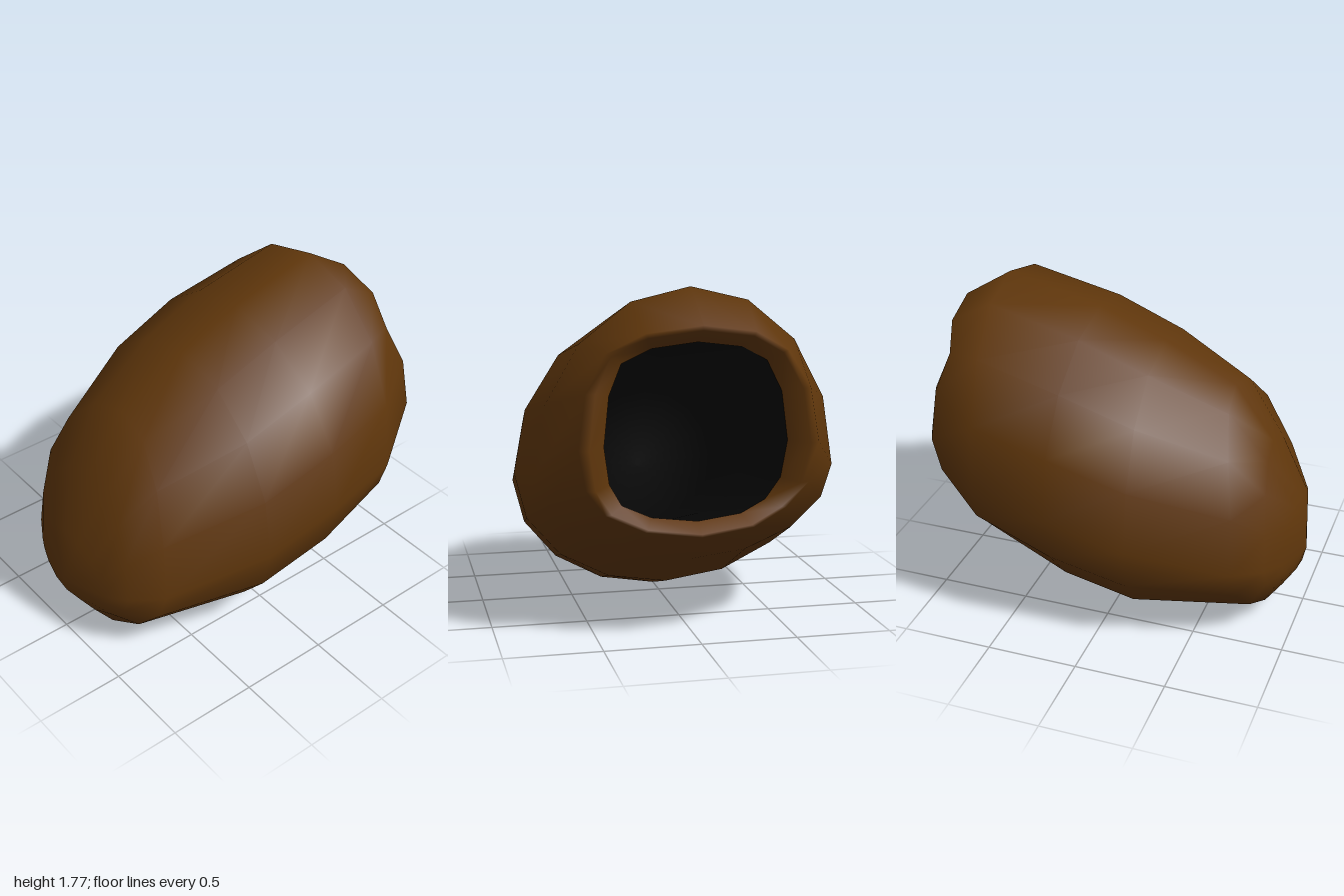
import * as THREE from 'three';

const SIDES = 16;

// One closed ring, from its top, bottom and widest side points.
// square pushes the diagonals outwards, dip pulls them back along x.
function ring({ top, bottom, side, square = 1, dip = 0 }) {
  const points = [];
  for (let j = 0; j < SIDES; j++) {
    const turn = (j / SIDES) * Math.PI * 2;
    const a = turn + (square - 1) * 0.75 * Math.sin(4 * turn);
    const c = Math.cos(a), s = Math.sin(a);
    const end = c >= 0 ? top : bottom;
    const diagonal = Math.sin(2 * turn) ** 2;
    const k = 1 + (square - 1) * diagonal;
    points.push(new THREE.Vector3(
      side[0] + (end[0] - side[0]) * c * c - dip * diagonal ** 1.5,
      side[1] + (end[1] - side[1]) * Math.abs(c) * k,
      side[2] * s * k
    ));
  }
  return points;
}

// Skin over rings: faces outwards when they run from -x to +x, inwards when reversed.
// An optional point closes either end.
function loft(rings, backPole, frontPole) {
  const points = rings.flat();
  const index = [];
  const at = (i, j) => i * SIDES + (j % SIDES);
  for (let i = 0; i < rings.length - 1; i++) {
    for (let j = 0; j < SIDES; j++) {
      index.push(at(i, j), at(i, j + 1), at(i + 1, j));
      index.push(at(i, j + 1), at(i + 1, j + 1), at(i + 1, j));
    }
  }
  if (backPole) {
    points.push(backPole);
    for (let j = 0; j < SIDES; j++) index.push(points.length - 1, at(0, j + 1), at(0, j));
  }
  if (frontPole) {
    points.push(frontPole);
    const last = rings.length - 1;
    for (let j = 0; j < SIDES; j++) index.push(at(last, j), at(last, j + 1), points.length - 1);
  }
  const geometry = new THREE.BufferGeometry().setFromPoints(points);
  geometry.setIndex(index);
  geometry.computeVertexNormals();
  return geometry;
}

export function createModel() {
  const model = new THREE.Group();
  model.name = 'hollowPod';
  const brown = new THREE.MeshStandardMaterial({ color: 0x5f360b });
  const black = new THREE.MeshStandardMaterial({ color: 0x060606 });

  // Each side entry is x, y and half width at the widest point
  const mouth = ring({ top: [0.9, 1.51], bottom: [0.9, 0.61], side: [0.88, 1, 0.47], square: 1.12, dip: 0.06 });
  const body = [
    { top: [-0.96, 0.68], bottom: [-0.98, 0.26], side: [-0.93, 0.4, 0.3] },
    { top: [-0.78, 0.99], bottom: [-0.92, 0.17], side: [-0.86, 0.42, 0.42] },
    { top: [-0.56, 1.29], bottom: [-0.85, 0.07], side: [-0.72, 0.46, 0.57] },
    { top: [-0.16, 1.49], bottom: [-0.15, 0], side: [-0.2, 0.63, 0.8] },
    { top: [0.21, 1.64], bottom: [0.18, 0.1], side: [0.23, 0.76, 0.84] },
    { top: [0.73, 1.77], bottom: [0.73, 0.37], side: [0.65, 0.82, 0.79] },
  ].map(ring);

  // Rounded, wavy rim around the opening
  const rim = [
    { top: [1, 1.6], bottom: [1, 0.55], side: [0.96, 1, 0.61], square: 1.08, dip: 0.09 },
    { top: [1, 1.575], bottom: [1, 0.565], side: [0.985, 1, 0.56], square: 1.1, dip: 0.09 },
  ].map(ring);

  // Outer shell, folding in over the rim to the edge of the opening
  const shell = new THREE.Mesh(loft([...body, ...rim, mouth], new THREE.Vector3(-1, 0.35, 0)), brown);
  shell.name = 'shell';

  // Dark hollow, sloping down towards the closed end
  const depths = [
    { top: [0.2, 1.4], bottom: [0.2, 0.45], side: [0.2, 0.9, 0.5] },
    { top: [-0.35, 1.12], bottom: [-0.35, 0.32], side: [-0.35, 0.7, 0.4] },
  ].map(ring);
  const hollow = new THREE.Mesh(loft([mouth, ...depths], null, new THREE.Vector3(-0.6, 0.6, 0)), black);
  hollow.name = 'hollow';

  model.add(shell, hollow);
  return model;
}
